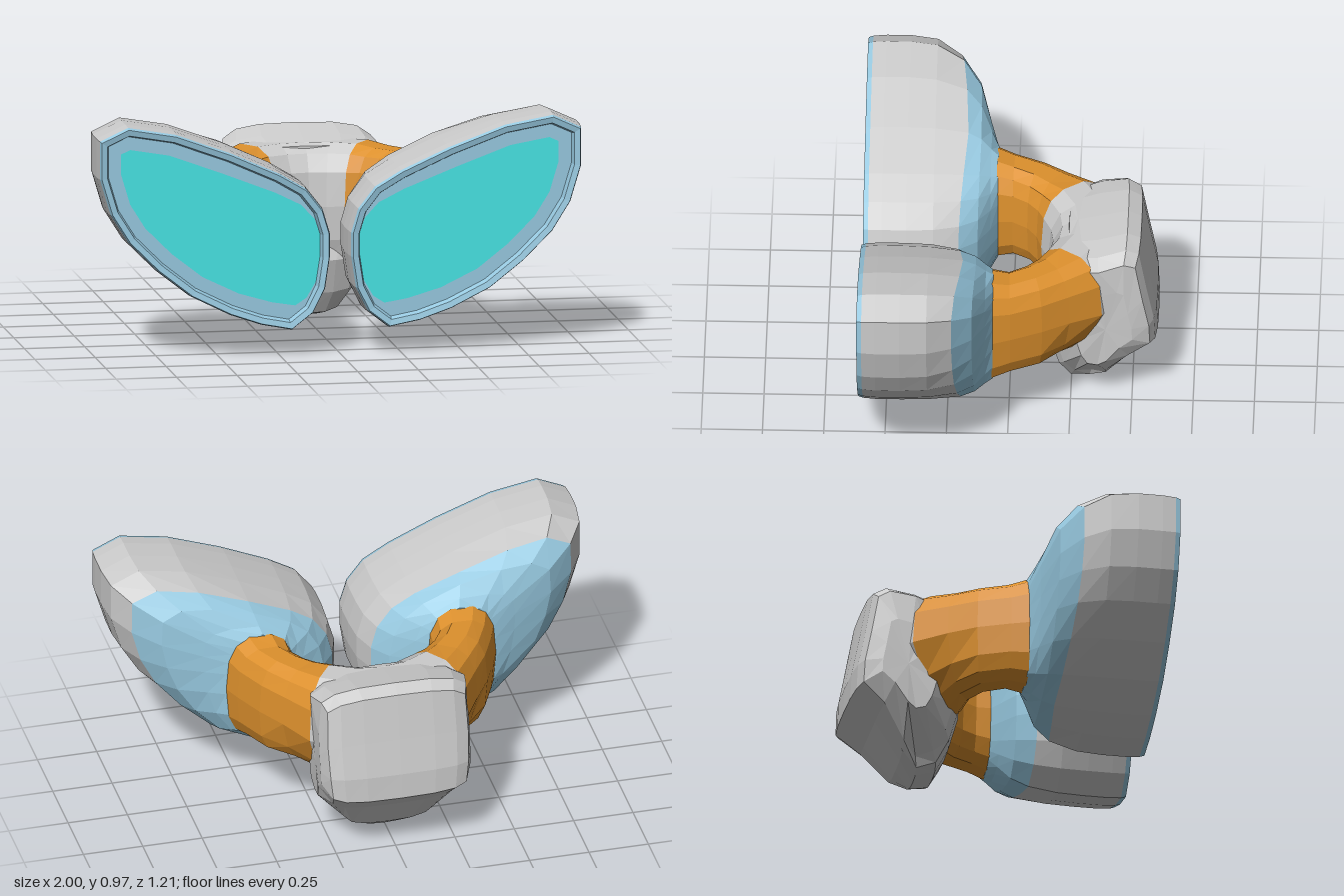
import * as THREE from 'three';

const GREY = 0xcccccc, BLUE = 0x98cae1, CYAN = 0x48e6e6, ORANGE = 0xdc902d;

// Skins a list of closed rings; each ring runs counter-clockwise seen from the start.
function loft(name, color, rings, capStart = false, capEnd = false) {
  const v = [];
  const n = rings[0].length;
  const tri = (a, b, c) => v.push(...a, ...b, ...c);
  for (let k = 0; k < rings.length - 1; k++) {
    const A = rings[k], B = rings[k + 1];
    for (let i = 0; i < n; i++) {
      const j = (i + 1) % n;
      tri(A[i], B[i], B[j]);
      tri(A[i], B[j], A[j]);
    }
  }
  const cap = (r, flip) => {
    const c = [0, 1, 2].map(a => r.reduce((s, p) => s + p[a], 0) / n);
    for (let i = 0; i < n; i++) {
      const p = r[i], q = r[(i + 1) % n];
      flip ? tri(c, q, p) : tri(c, p, q);
    }
  };
  if (capStart) cap(rings[0], false);
  if (capEnd) cap(rings[rings.length - 1], true);
  const g = new THREE.BufferGeometry();
  g.setAttribute('position', new THREE.Float32BufferAttribute(v, 3));
  g.computeVertexNormals();
  const mesh = new THREE.Mesh(g, new THREE.MeshStandardMaterial({ color, flatShading: true }));
  mesh.name = name;
  return mesh;
}

const mirror = rings => rings.map(r => r.map(([x, y, z]) => [-x, y, z]).reverse());

// Wing-shaped pod outline (x, y)
const OUTLINE = [
  [0.04, 0.50], [0.04, 0.40], [0.06, 0.27], [0.11, 0.17], [0.20, 0.10], [0.33, 0.125], [0.46, 0.17],
  [0.62, 0.25], [0.76, 0.36], [0.88, 0.48], [0.955, 0.60], [1.0, 0.75], [1.0, 0.91], [0.88, 0.965],
  [0.68, 0.93], [0.45, 0.845], [0.25, 0.755], [0.14, 0.69], [0.07, 0.60],
];

// Outline moved inwards by d, placed at depth z
function inset(d, z) {
  const n = OUTLINE.length;
  return OUTLINE.map(([x, y], i) => {
    const a = OUTLINE[(i + n - 1) % n], b = OUTLINE[(i + 1) % n];
    const e = new THREE.Vector2(x - a[0], y - a[1]).normalize();
    const f = new THREE.Vector2(b[0] - x, b[1] - y).normalize();
    const m = e.clone().add(f).normalize();
    const k = d / Math.max(0.75, m.dot(f));
    return [x - m.y * k, y + m.x * k, z];
  });
}

// Light panel edge, with a narrower margin on the inner side
const panelRing = () =>
  inset(0.095, 0.57).map(([x, y, z]) => [x - 0.08 * Math.max(0, 1 - x / 0.45), y, z]);

const spow = (v, e) => Math.sign(v) * Math.abs(v) ** e;

// Outline blended by t towards the arm socket; the middle bulges back
function shoulder(t, z, bulge = 0) {
  return OUTLINE.map(([x, y]) => {
    const a = Math.atan2(y - 0.5, x - 0.46);
    const sx = 0.425 + 0.145 * spow(Math.cos(a), 0.75);
    const sy = 0.4975 + 0.2375 * spow(Math.sin(a), 0.75);
    return [x + (sx - x) * t, y + (sy - y) * t, z - bulge * (1 - Math.abs(x - 0.5) * 2)];
  });
}

// Rounded arm section between an inner and an outer plan point; taper tucks in the lower outer edge
function armSection([ox, oz, ix, iz, y0, y1, taper]) {
  const ring = [];
  for (let i = 0; i < 14; i++) {
    const a = (i / 14) * Math.PI * 2;
    const s = (0.5 + 0.5 * spow(Math.cos(a), 0.75)) * (1 - taper * Math.max(0, -Math.sin(a)));
    const y = (y0 + y1) / 2 + ((y1 - y0) / 2) * spow(Math.sin(a), 0.7);
    ring.push([ix + (ox - ix) * s, y, iz + (oz - iz) * s]);
  }
  return ring;
}

// Arm stations: outer x, z, inner x, z, bottom, top, taper
const JOINT = [0.33, -0.38, 0.14, -0.12, 0.23, 0.725, 0.4];
const ARM = [
  [0.57, 0.065, 0.28, 0.065, 0.26, 0.735, 0],
  [0.54, -0.01, 0.28, 0.0, 0.28, 0.715, 0],
  [0.48, -0.14, 0.24, -0.06, 0.28, 0.715, 0],
  [0.41, -0.25, 0.19, -0.10, 0.27, 0.715, 0.2],
  JOINT,
].map(armSection);
const BRIDGE = [
  JOINT,
  [0.16, -0.48, 0.07, -0.15, 0.22, 0.725, 0.4],
  [0, -0.50, 0, -0.16, 0.22, 0.725, 0.4],
].map(armSection);

// Rear housing side profile: z, y, half-width
const HOUSING = [
  [-0.605, 0.29, 0.28], [-0.60, 0.40, 0.29], [-0.57, 0.55, 0.295], [-0.535, 0.74, 0.29],
  [-0.48, 0.766, 0.305], [-0.36, 0.738, 0.325], [-0.24, 0.71, 0.29], [-0.22, 0.50, 0.31],
  [-0.15, 0.25, 0.22], [-0.19, 0.11, 0.21], [-0.24, 0.02, 0.16], [-0.32, 0.0, 0.13],
  [-0.39, 0.05, 0.19], [-0.50, 0.20, 0.26],
];

// Profile slice at the width fraction t, shrunk by s; flat evens out the widths on the side face
function housingRing([t, s, flat = 0]) {
  return HOUSING.map(([z, y, w]) =>
    [t * (w + (0.32 - w) * flat), 0.4 + (y - 0.4) * s, -0.4 + (z + 0.4) * s]);
}

export function createModel() {
  const model = new THREE.Group();
  model.name = 'twinPodUnit';

  for (const side of ['left', 'right']) {
    const group = new THREE.Group();
    group.name = side + 'Pod';
    const add = (name, color, rings, a, b) =>
      group.add(loft(name, color, side === 'left' ? rings : mirror(rings), a, b));

    // Recessed light panel and its frame
    add('lightPanel', CYAN, [panelRing()], true);
    add('panelFrame', BLUE, [panelRing(), inset(0.042, 0.57), inset(0.034, 0.6),
      inset(0.01, 0.605), inset(0.004, 0.585)]);
    // Shell and the collar narrowing to the arm
    add('podShell', GREY, [inset(0.004, 0.585), inset(0, 0.53), inset(0, 0.43),
      shoulder(0.03, 0.32), shoulder(0.17, 0.22, 0.04)]);
    add('podCollar', BLUE, [shoulder(0.17, 0.22, 0.04), shoulder(0.41, 0.14, 0.01),
      shoulder(0.78, 0.09), shoulder(1, 0.06)], false, true);
    // Curved arm and its half of the bridge
    add('arm', ORANGE, ARM);
    add('bridge', GREY, BRIDGE);
    model.add(group);
  }

  // Rear housing with the lower lobe
  const half = [[1, 0.5, 0.85], [1, 0.85], [0.82, 0.95], [0.5, 0.995]];
  const steps = [...half, [0, 1.005], ...half.map(([t, ...rest]) => [-t, ...rest]).reverse()];
  model.add(loft('rearHousing', GREY, steps.map(housingRing), true, true));
  return model;
}
